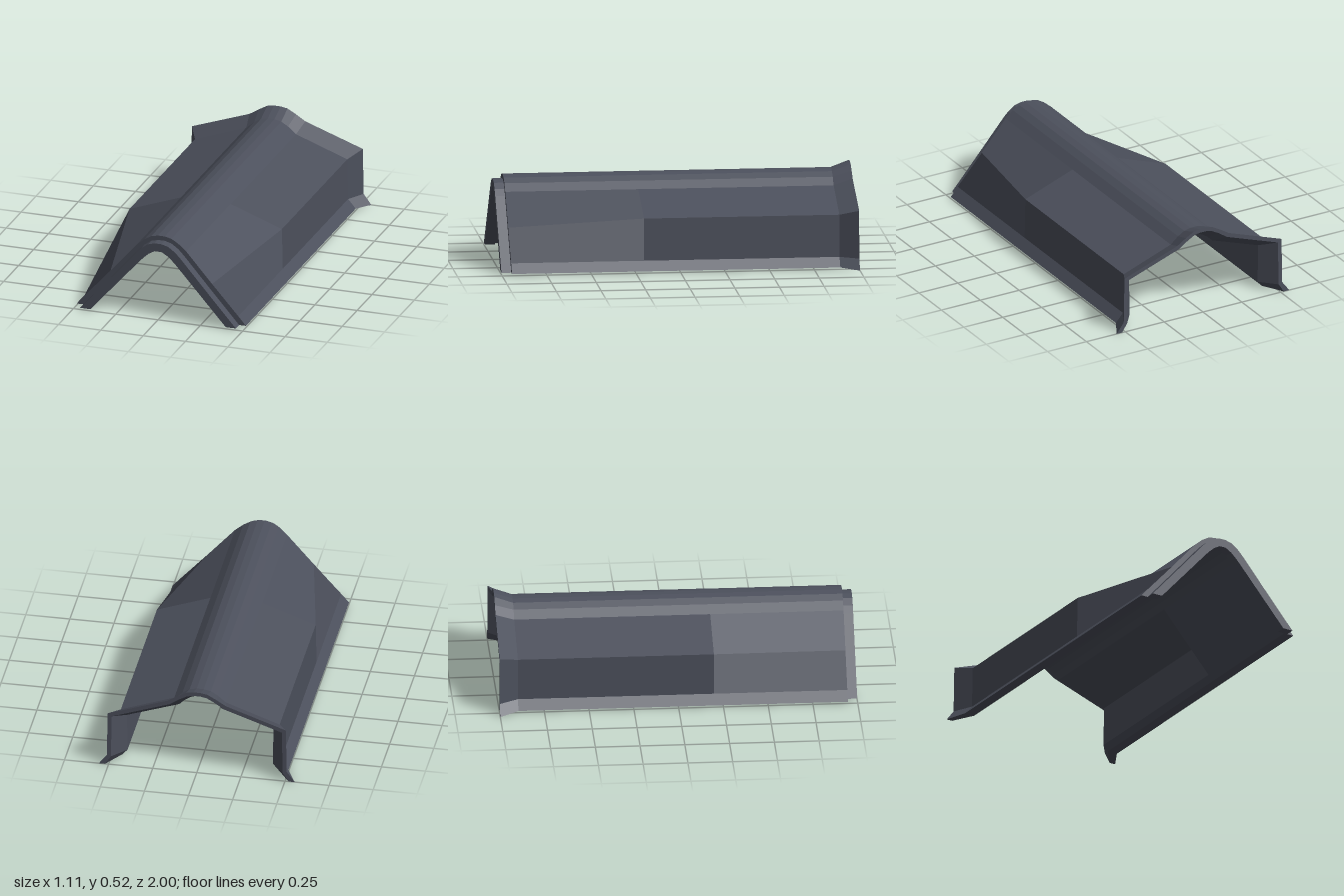
import * as THREE from 'three';

// Half cross-sections, ridge to eave: crown points, shoulder, wall foot, eave.
const lipOuter = [[0, 0.457], [0.02, 0.457], [0.06, 0.446], [0.1, 0.418], [0.132, 0.385], [0.27, 0.226], [0.42, 0.055], [0.46, 0.01]];
const lipInner = [[0, 0.41], [0.02, 0.41], [0.055, 0.39], [0.085, 0.363], [0.11, 0.337], [0.25, 0.179], [0.36, 0.055], [0.4, 0.01]];
const bodyOuter = [[0, 0.483], [0.02, 0.483], [0.06, 0.474], [0.1, 0.45], [0.147, 0.41], [0.3, 0.235], [0.455, 0.062], [0.5, 0.01]];
const bodyInner = [[0, 0.436], [0.02, 0.436], [0.055, 0.424], [0.09, 0.4], [0.119, 0.371], [0.26, 0.212], [0.4, 0.055], [0.44, 0.01]];
const wideOuter = [...bodyOuter.slice(0, 5), [0.45, 0.3], ...bodyOuter.slice(6)];
const pocketInner = [...bodyInner.slice(0, 5), [0.415, 0.268], [0.412, 0.042], [0.44, 0.01]];
const flareOuter = [[0, 0.52], [0.02, 0.52], [0.06, 0.513], [0.11, 0.485], [0.165, 0.45], [0.505, 0.33], [0.51, 0.06], [0.555, 0]];
const flareInner = [[0, 0.497], [0.02, 0.497], [0.055, 0.49], [0.1, 0.465], [0.155, 0.428], [0.482, 0.313], [0.487, 0.052], [0.52, 0]];

const ring = (z, outer, inner) =>
  [...outer, ...[...inner].reverse()].map(([x, y]) => new THREE.Vector3(x, y, z));

// Lofts rings listed front to back and mirrors the half across x = 0.
function loft(name, material, rings, capFront, capBack) {
  const pos = [];
  const nor = [];
  // One flat normal per quad keeps the twisted panels evenly shaded
  const quad = (a, b, c, d) => {
    const n = c.clone().sub(a).cross(d.clone().sub(b));
    if (n.length() < 1e-7) return;
    n.normalize();
    for (const s of [1, -1]) {
      const corners = s > 0 ? [a, b, d, b, c, d] : [a, d, b, b, d, c];
      for (const p of corners) {
        pos.push(s * p.x, p.y, p.z);
        nor.push(s * n.x, n.y, n.z);
      }
    }
  };
  const count = rings[0].length;
  for (let i = 0; i < rings.length - 1; i++) {
    const p = rings[i], q = rings[i + 1];
    for (let j = 0; j < count - 1; j++) quad(p[j], p[j + 1], q[j + 1], q[j]);
  }
  for (let k = 0; k < count / 2 - 1; k++) {
    const cap = (r) => [r[k], r[count - 1 - k], r[count - 2 - k], r[k + 1]];
    if (capFront) quad(...cap(rings[0]));
    if (capBack) quad(...cap(rings[rings.length - 1]).reverse());
  }
  const geometry = new THREE.BufferGeometry();
  geometry.setAttribute('position', new THREE.Float32BufferAttribute(pos, 3));
  geometry.setAttribute('normal', new THREE.Float32BufferAttribute(nor, 3));
  const mesh = new THREE.Mesh(geometry, material);
  mesh.name = name;
  return mesh;
}

export function createModel() {
  const group = new THREE.Group();
  group.name = 'ridgeCover';
  const slate = new THREE.MeshStandardMaterial({ color: 0x4c505c });
  slate.name = 'slateGrey';

  // Narrow lip at the front, stepping out to the body inside and outside
  group.add(loft('frontLip', slate, [
    ring(1, lipOuter, lipInner),
    ring(0.945, lipOuter, lipInner),
    ring(0.945, bodyOuter, bodyInner),
  ], true, false));

  // Body widening to upright side walls; the pockets inside begin at z = 0.2
  group.add(loft('body', slate, [
    ring(0.945, bodyOuter, bodyInner),
    ring(0.2, wideOuter, bodyInner),
    ring(0.2, wideOuter, pocketInner),
    ring(-0.895, wideOuter, pocketInner),
  ], false, false));

  // Flared collar at the back
  group.add(loft('backFlare', slate, [
    ring(-0.895, wideOuter, pocketInner),
    ring(-1, flareOuter, flareInner),
  ], false, true));

  return group;
}
